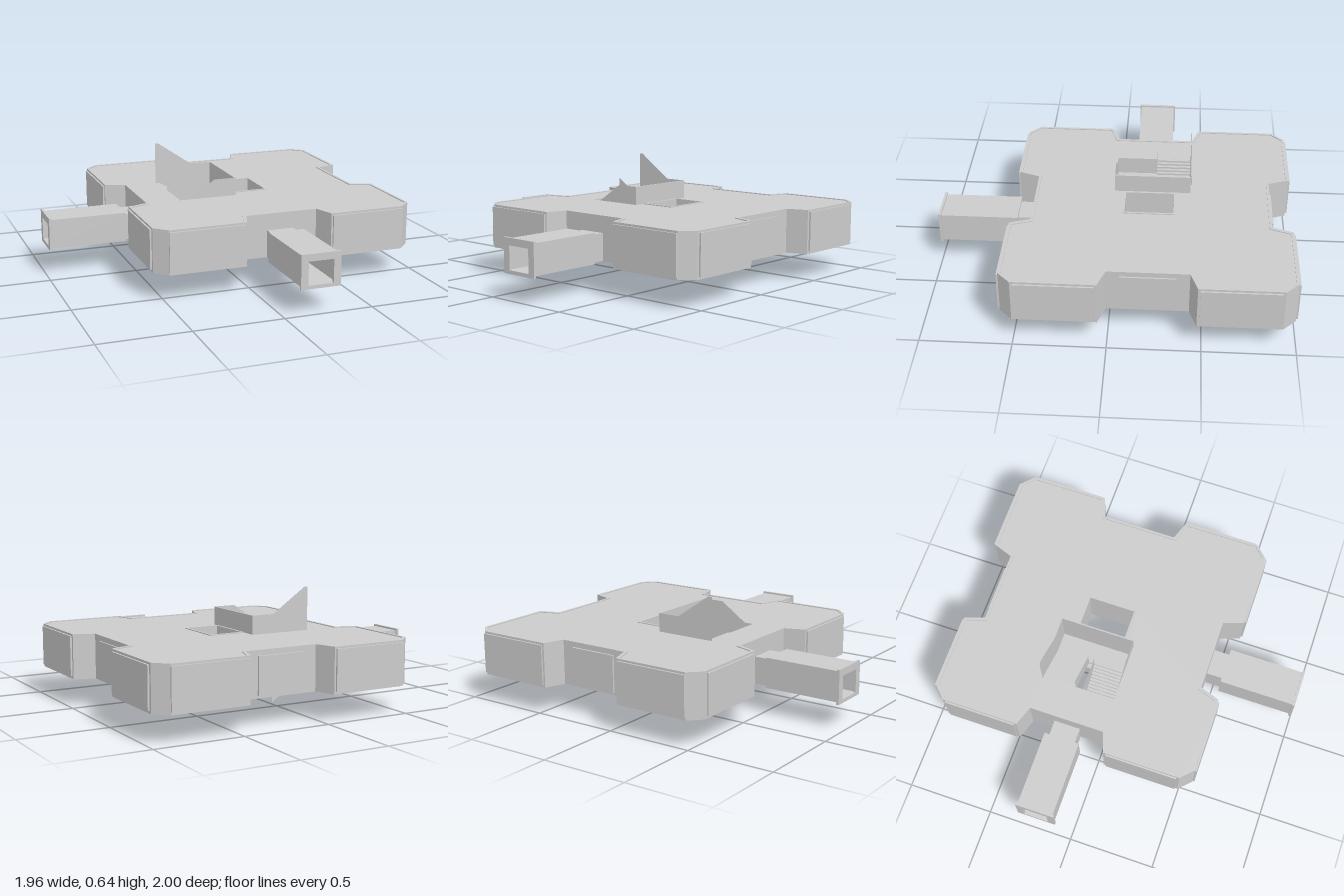
import * as THREE from 'three';

const mat = new THREE.MeshStandardMaterial({ color: 0xcccccc, side: THREE.DoubleSide, flatShading: true });
const CX = 0.21, CZ = -0.21;

export function createModel() {
  const model = new THREE.Group();

  const add = (geo, name, parent = model) => {
    const m = new THREE.Mesh(geo, mat);
    m.name = name;
    parent.add(m);
    return m;
  };
  // box given by its limits on each axis
  const box = (name, x0, x1, y0, y1, z0, z1, parent = model) => {
    const m = add(new THREE.BoxGeometry(x1 - x0, y1 - y0, z1 - z0), name, parent);
    m.position.set((x0 + x1) / 2, (y0 + y1) / 2, (z0 + z1) / 2);
    return m;
  };
  const toPath = pts => pts.map(([x, y]) => new THREE.Vector2(x, y));
  const rect = (x0, x1, z0, z1) => [[x0, -z0], [x1, -z0], [x1, -z1], [x0, -z1]];
  // horizontal slab from a plan outline (x, -z) with holes
  const slab = (name, outline, holes, y0, y1) => {
    const s = new THREE.Shape(toPath(outline));
    holes.forEach(h => s.holes.push(new THREE.Path(toPath(h))));
    const g = new THREE.ExtrudeGeometry(s, { depth: y1 - y0, bevelEnabled: false });
    g.rotateX(-Math.PI / 2).translate(0, y0, 0);
    return add(g, name);
  };
  // thin upright panel in the x-y plane
  const sheet = (name, pts, z) => {
    add(new THREE.ShapeGeometry(new THREE.Shape(toPath(pts))), name).position.z = z;
  };

  // plan outline: one quadrant with chamfered corner and notch, mirrored four ways
  const plan = t => {
    const q = [[0.645 - t, 0.22 + t], [0.76 - t, 0.26 + t], [0.76 - t, 0.71 - 0.4 * t],
      [0.69 - 0.4 * t, 0.78 - t], [0.25 + t, 0.78 - t], [0.21 + t, 0.665 - t]];
    const r = [...q].reverse();
    return [[1, 1, q], [-1, 1, r], [-1, -1, q], [1, -1, r]]
      .flatMap(([sx, sz, p]) => p.map(([u, v]) => [CX + sx * u, -CZ + sz * v]));
  };

  // hollow building shell
  const shaftHole = rect(0.12, 0.33, -0.345, -0.05);
  slab('outerWalls', plan(0), [plan(0.015)], 0.15, 0.4);
  slab('floor', plan(0.01), [rect(-0.23, -0.02, -0.43, -0.19), shaftHole], 0.152, 0.165);
  slab('roof', plan(0.01), [rect(-0.23, 0.11, -0.43, 0.005), shaftHole], 0.38, 0.395);

  // lining of the open shaft
  slab('shaftLining', shaftHole, [rect(0.132, 0.32, -0.333, -0.06)], 0.15, 0.4);

  // raised wall panels on the four corner blocks
  for (const s of [-1, 1]) for (const t of [-1, 1]) {
    const px = CX + s * 0.475, pz = CZ + t * 0.485;
    const fz = CZ + t * 0.784, fx = CX + s * 0.764;
    box('wallPanel', px - 0.215, px + 0.215, 0.165, 0.388, fz - 0.006, fz + 0.006);
    box('wallPanel', fx - 0.006, fx + 0.006, 0.165, 0.388, pz - 0.21, pz + 0.21);
  }
  // panels in the two notches without a tunnel
  box('backNotchPanel', 0.07, 0.35, 0.165, 0.37, -0.886, -0.874);
  box('leftNotchPanel', 0.853, 0.863, 0.165, 0.37, -0.36, -0.06);

  // entrance tunnel along +z from its own origin on the notch wall
  const sleeve = (name, w, y0, y1, z0, z1, ow, oy0, oy1, parent) => {
    const s = new THREE.Shape(toPath([[-w, y0], [w, y0], [w, y1], [-w, y1]]));
    s.holes.push(new THREE.Path(toPath([[-ow, oy0], [ow, oy0], [ow, oy1], [-ow, oy1]])));
    const g = new THREE.ExtrudeGeometry(s, { depth: z1 - z0, bevelEnabled: false });
    add(g.translate(0, 0, z0), name, parent);
  };
  const tunnel = (name, x, z, angle) => {
    const g = new THREE.Group();
    g.name = name;
    g.position.set(x, 0, z);
    g.rotation.y = angle;
    model.add(g);
    sleeve('tunnelNeck', 0.077, 0.152, 0.305, -0.01, 0.1, 0.068, 0.162, 0.29, g);
    sleeve('tunnelBody', 0.104, 0.15, 0.32, 0.09, 0.53, 0.09, 0.158, 0.305, g);
    sleeve('tunnelEndFrame', 0.113, 0.14, 0.33, 0.525, 0.54, 0.072, 0.16, 0.29, g);
    box('door', -0.07, 0.07, 0.158, 0.295, 0.0, 0.012, g);
    box('doorHandle', -0.048, -0.04, 0.21, 0.225, 0.012, 0.022, g);
  };
  tunnel('frontTunnel', 0.202, 0.455, 0);
  tunnel('rightTunnel', -0.435, -0.21, -Math.PI / 2);

  // two stair flights meeting at a half landing
  const N = 12, X0 = -0.235, X1 = -0.02, run = (X1 - X0) / N;
  for (let i = 0; i < N; i++) {
    const xa = X1 - (i + 1) * run, xb = X1 - i * run;
    const up = 0.265 + (i + 1) * 0.0108, down = 0.265 - (i + 1) * 0.0085;
    box('upperStep', xa, xb, up - 0.022, up, -0.425, -0.228);
    box('lowerStep', xa, xb, down - 0.02, down, -0.19, 0);
  }
  box('landing', X1, 0.11, 0.25, 0.265, -0.425, 0.005);

  // stair enclosure and handrails
  sheet('upperStairWall', [[-0.245, 0.39], [X1, 0.25], [0.11, 0.25], [0.11, 0.5], [X1, 0.5], [-0.225, 0.64], [-0.245, 0.64]], -0.425);
  sheet('lowerStairWall', [[-0.235, 0.16], [X1, 0.25], [0.11, 0.25], [0.11, 0.5], [X1, 0.5], [-0.235, 0.355]], 0.005);
  box('landingWall', 0.104, 0.112, 0.25, 0.5, -0.425, 0.005);
  sheet('upperHandrail', [[-0.235, 0.38], [X1, 0.25], [X1, 0.365], [-0.235, 0.505]], -0.226);
  sheet('lowerHandrail', [[-0.235, 0.155], [X1, 0.25], [X1, 0.365], [-0.235, 0.265]], -0.192);

  // side walls of the stair continuing below the floor
  for (const z of [-0.42, -0.222]) {
    sheet('descendingStairWall', [[-0.235, 0.155], [X1, 0], [X1, 0.155]], z);
  }

  return model;
}
